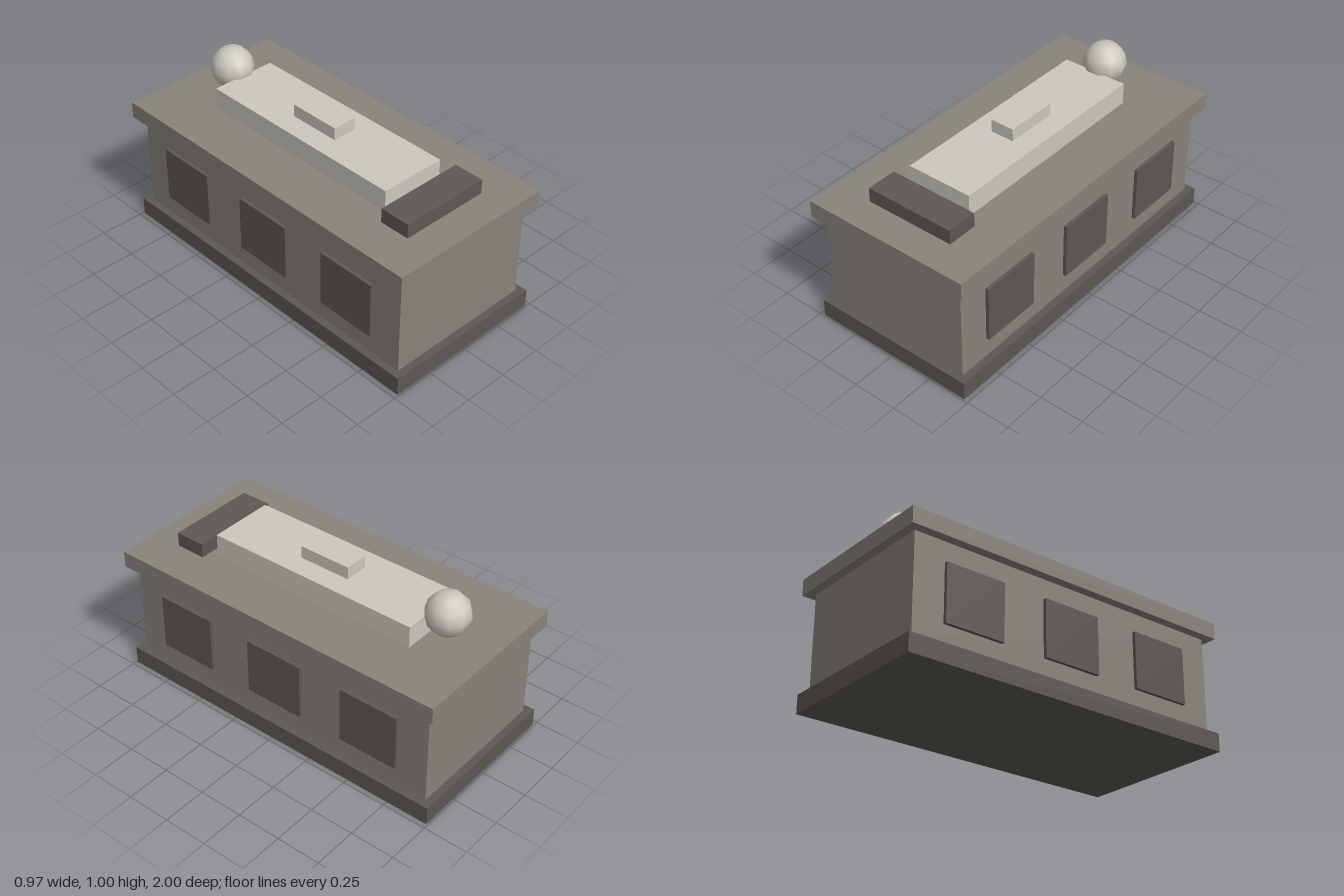
import * as THREE from 'three';

export function createModel() {
  const model = new THREE.Group();
  model.name = 'stoneTomb';

  const stone = new THREE.MeshStandardMaterial({ color: 0x88837b });
  const darkStone = new THREE.MeshStandardMaterial({ color: 0x5c5853 });
  const paleStone = new THREE.MeshStandardMaterial({ color: 0xcbc8be });

  // Box given by its width, vertical range and z range
  function block(name, material, width, y0, y1, z0, z1, x = 0) {
    const mesh = new THREE.Mesh(new THREE.BoxGeometry(width, y1 - y0, z1 - z0), material);
    mesh.position.set(x, (y0 + y1) / 2, (z0 + z1) / 2);
    mesh.name = name;
    model.add(mesh);
  }

  // Chest: plinth, body and overhanging lid
  block('plinth', darkStone, 0.946, 0, 0.103, -0.992, 0.992);
  block('chestBody', stone, 0.862, 0.103, 0.648, -0.951, 0.951);
  block('lid', stone, 0.966, 0.648, 0.74, -1, 1);

  // Three raised panels along each long side
  for (const side of [-1, 1]) {
    for (const z of [-0.602, 0, 0.602]) {
      block('sidePanel', darkStone, 0.04, 0.217, 0.535, z - 0.172, z + 0.172, side * 0.43);
    }
  }

  // Reclining effigy: body, folded hands, head and foot rest
  block('effigyBody', paleStone, 0.378, 0.74, 0.862, -0.645, 0.602);
  block('effigyHands', paleStone, 0.136, 0.862, 0.932, -0.172, 0.128);
  block('footRest', darkStone, 0.516, 0.74, 0.82, 0.645, 0.818);

  const head = new THREE.Mesh(new THREE.SphereGeometry(0.12, 10, 6), paleStone);
  head.position.set(0, 0.88, -0.732);
  head.name = 'effigyHead';
  model.add(head);

  return model;
}
